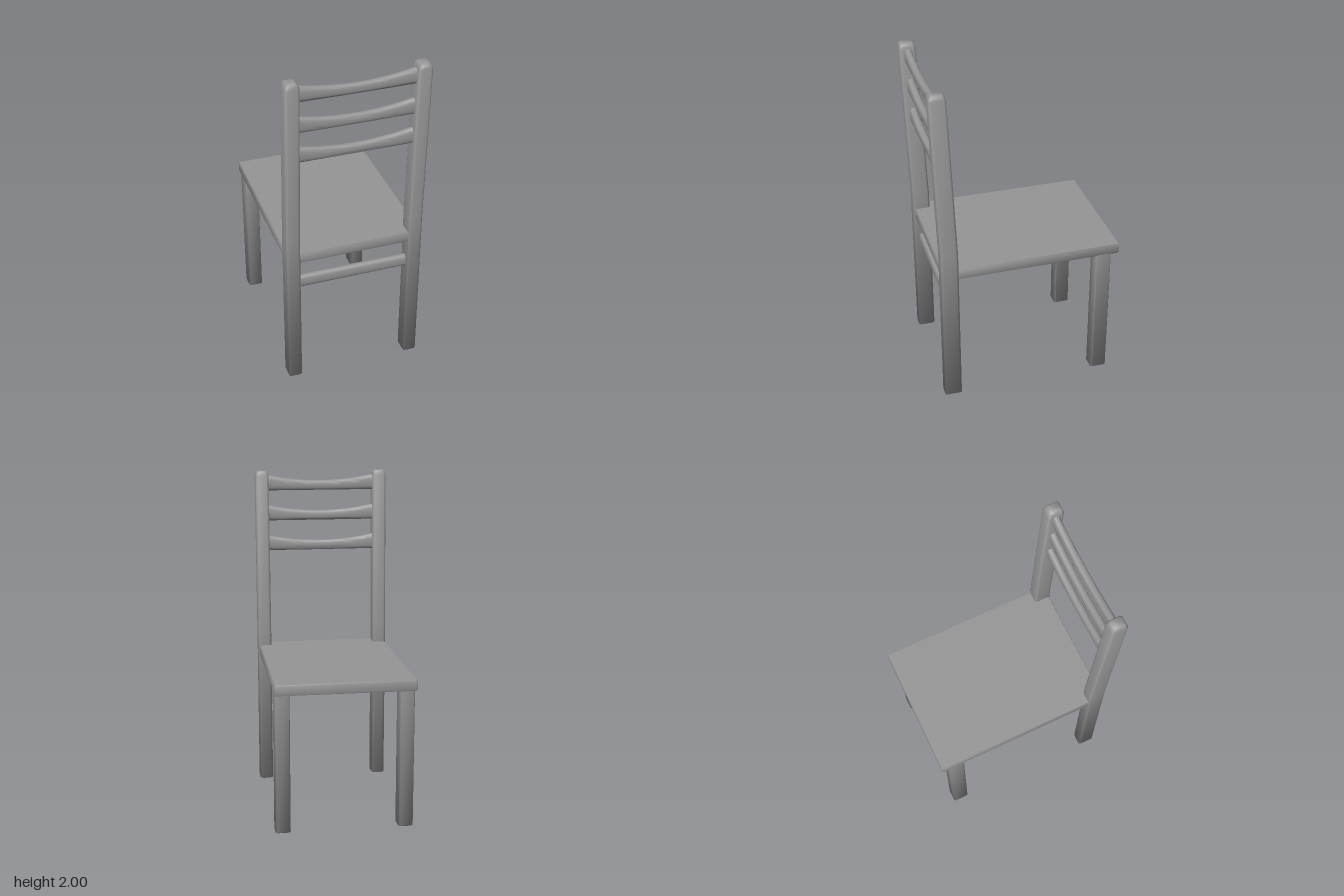
import * as THREE from 'three';
import { toCreasedNormals } from 'three/addons/utils/BufferGeometryUtils.js';

const material = new THREE.MeshStandardMaterial({ color: 0x969696 });

// Skin a row of equal-length rings and cap both ends
function loft(rings, crease = 0.85) {
  const n = rings[0].length, index = [];
  const last = (rings.length - 1) * n;
  for (let i = 0; i < rings.length - 1; i++) {
    for (let j = 0; j < n; j++) {
      const a = i * n + j, b = i * n + (j + 1) % n;
      index.push(a, b, b + n, a, b + n, a + n);
    }
  }
  for (let j = 1; j < n - 1; j++) {
    index.push(0, j + 1, j, last, last + j, last + j + 1);
  }
  const g = new THREE.BufferGeometry();
  g.setAttribute('position', new THREE.Float32BufferAttribute(rings.flat(2), 3));
  g.setIndex(index);
  return toCreasedNormals(g, crease);
}

// Horizontal rectangle with rounded corners, counter-clockwise from above
function rectRing(y, cx, cz, w, d, r) {
  const ring = [];
  [[1, 1], [-1, 1], [-1, -1], [1, -1]].forEach(([sx, sz], k) => {
    for (let s = 0; s <= 3; s++) {
      const a = (k + s / 3) * Math.PI / 2;
      ring.push([
        cx + sx * (w / 2 - r) + r * Math.cos(a),
        y,
        cz - sz * (d / 2 - r) - r * Math.sin(a),
      ]);
    }
  });
  return ring;
}

// Oval bar between the posts; its top edge dips by sag at the middle
function rail(bottom, top, z, sag) {
  const rings = [], half = 0.345, steps = sag ? 16 : 1, sides = 20;
  for (let i = 0; i <= steps; i++) {
    const u = -1 + 2 * i / steps;
    const h = top - bottom - sag * (1 - u * u);
    const ring = [];
    for (let j = 0; j < sides; j++) {
      const a = j / sides * Math.PI * 2, c = Math.cos(a), s = Math.sin(a);
      ring.push([
        u * half,
        bottom + h / 2 + h / 2 * Math.sign(c) * Math.abs(c) ** 0.7,
        z + 0.023 * Math.sign(s) * Math.abs(s) ** 0.7,
      ]);
    }
    rings.push(ring);
  }
  return loft(rings);
}

export function createModel() {
  const chair = new THREE.Group();
  chair.name = 'chair';
  const add = (name, geometry) => {
    const mesh = new THREE.Mesh(geometry, material);
    mesh.name = name;
    chair.add(mesh);
  };

  // Seat board with eased edges, running back between the posts
  add('seat', loft([
    rectRing(0.838, 0, -0.023, 0.804, 1.068, 0.004),
    rectRing(0.846, 0, -0.023, 0.81, 1.074, 0.007),
    rectRing(0.892, 0, -0.023, 0.81, 1.074, 0.007),
    rectRing(0.9, 0, -0.023, 0.804, 1.068, 0.004),
  ]));

  for (const [side, s] of [['left', 1], ['right', -1]]) {
    // Back post: upright to above the seat, then leaning back
    add(side + 'BackPost', loft([
      rectRing(0, s * 0.37, 0.472, 0.054, 0.076, 0.008),
      rectRing(0.008, s * 0.37, 0.472, 0.082, 0.104, 0.014),
      rectRing(1.0, s * 0.37, 0.472, 0.082, 0.104, 0.014),
      rectRing(1.97, s * 0.37, 0.51, 0.082, 0.098, 0.014),
      rectRing(1.99, s * 0.37, 0.511, 0.068, 0.084, 0.014),
      rectRing(2, s * 0.37, 0.511, 0.052, 0.068, 0.012),
    ], 1.2));

    // Front leg
    add(side + 'FrontLeg', loft([
      rectRing(0, s * 0.36, -0.463, 0.06, 0.072, 0.008),
      rectRing(0.008, s * 0.36, -0.463, 0.088, 0.1, 0.012),
      rectRing(0.85, s * 0.36, -0.463, 0.088, 0.1, 0.012),
    ], 1.2));
  }

  // Three dipped slats that follow the lean of the posts
  for (let i = 0; i < 3; i++) {
    const bottom = 1.501 + i * 0.1875;
    add('backSlat' + (i + 1), rail(bottom, bottom + 0.099, 0.472 + 0.038 * (bottom - 0.95) / 0.97, 0.039));
  }

  // Straight rail below the seat
  add('lowerRail', rail(0.644, 0.72, 0.472, 0));

  return chair;
}
